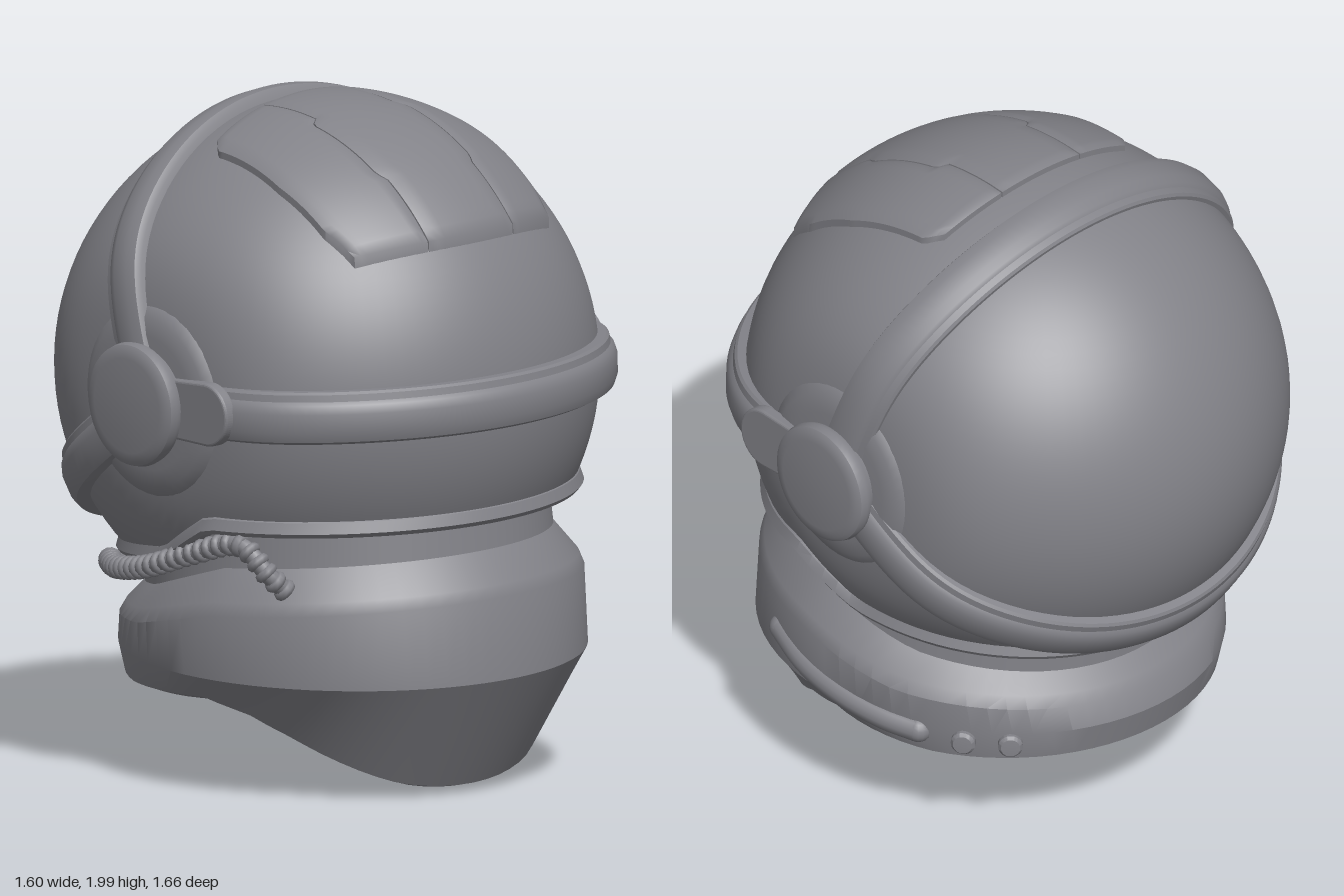
import * as THREE from 'three';
import { toCreasedNormals } from 'three/addons/utils/BufferGeometryUtils.js';

const V = (x, y, z) => new THREE.Vector3(x, y, z);
const { lerp } = THREE.MathUtils;
const C = V(0, 1.19, -0.03);           // centre of the head shell
const R = V(0.785, 0.78, 0.8);         // its radii before the sides are flattened

// flattens the sides of the head softly
const squash = (x) => x / Math.pow(1 + Math.pow(Math.abs(x) / 0.725, 14), 1 / 14);

// piecewise linear lookup in ascending [z, y] pairs
function along(pairs, z) {
  if (z <= pairs[0][0]) return pairs[0][1];
  for (let i = 1; i < pairs.length; i++) {
    const [a, ya] = pairs[i - 1], [b, yb] = pairs[i];
    if (z <= b) return lerp(ya, yb, (z - a) / (b - a));
  }
  return pairs[pairs.length - 1][1];
}

// skin over rows of points; wrap closes each row, loop joins last row to first
function loft(rows, wrap = true, loop = false, crease = 0.5) {
  const n = rows[0].length, m = rows.length, index = [];
  for (let j = 0; j < (loop ? m : m - 1); j++) {
    for (let i = 0; i < (wrap ? n : n - 1); i++) {
      const k = (i + 1) % n, l = (j + 1) % m;
      const a = j * n + i, b = j * n + k, c = l * n + k, d = l * n + i;
      index.push(a, b, c, a, c, d);
    }
  }
  const g = new THREE.BufferGeometry().setFromPoints(rows.flat());
  g.setIndex(index);
  return toCreasedNormals(g, crease);
}

// oval ring whose height follows z; taper narrows its front half
function ring(rx, back, front, pairs, taper = 0) {
  return Array.from({ length: 72 }, (_, i) => {
    const t = (i / 72) * Math.PI * 2, s = Math.sin(t);
    const z = (front + back) / 2 + s * (front - back) / 2;
    return V(rx * Math.cos(t) * (1 - taper * Math.max(0, s)), along(pairs, z), z);
  });
}

// lower edge of the head shell
const rim = [[-0.62, 0.67], [-0.05, 0.725], [0.17, 0.845], [0.8, 0.84]];
function shellPoint(az, th) {
  return V(squash(R.x * Math.sin(th) * Math.cos(az)), C.y + R.y * Math.cos(th),
    C.z + R.z * Math.sin(th) * Math.sin(az));
}
function rimAngle(az) {
  let lo = Math.PI / 2, hi = Math.PI;
  for (let i = 0; i < 30; i++) {
    const mid = (lo + hi) / 2, p = shellPoint(az, mid);
    if (p.y > along(rim, p.z)) lo = mid; else hi = mid;
  }
  return lo;
}

export function createModel() {
  const grey = new THREE.MeshStandardMaterial({ color: 0x828288 });
  grey.name = 'grey';
  grey.side = THREE.DoubleSide;
  const model = new THREE.Group();
  model.name = 'spaceHelmet';
  const tilted = new THREE.Group();
  tilted.name = 'tiltedHelmet';
  const add = (name, geo, parent = tilted) => {
    const m = new THREE.Mesh(geo, grey);
    m.name = name;
    parent.add(m);
    return m;
  };

  // head shell, cut along the rim
  const N = 96, azimuths = Array.from({ length: N }, (_, i) => (i / N) * Math.PI * 2);
  const ends = azimuths.map(rimAngle);
  add('headShell', loft(Array.from({ length: 41 }, (_, j) =>
    azimuths.map((az, i) => shellPoint(az, Math.max(0.001, ends[i] * j / 40)))), true, false, 1));

  // raised lip along the rim
  const lip = [[0.94, 0.03], [0.995, 0.035], [1.02, 0.02], [1.035, -0.012], [1.02, -0.025], [0.9, -0.025]];
  add('shellLip', loft(lip.map(([s, dy]) => azimuths.map((az, i) => {
    const p = shellPoint(az, ends[i]);
    return V(p.x * s, p.y + dy, C.z + (p.z - C.z) * s);
  })), true, true));

  // three half-hoop bands meeting at the ears, each with a low ledge on one side
  const section = [[-0.077, -0.04], [-0.077, 0.005], [-0.068, 0.024], [-0.04, 0.034], [0.015, 0.034],
    [0.04, 0.026], [0.05, 0.016], [0.07, 0.012], [0.077, 0.004], [0.077, -0.04]];
  function band(name, angle, radius, ledge) {
    const d = V(0, Math.sin(angle), Math.cos(angle)), w = V(0, Math.cos(angle), -Math.sin(angle));
    const rows = Array.from({ length: 73 }, (_, j) => {
      const t = (j / 72) * Math.PI, c = Math.cos(t);
      return section.map(([side, off]) => V(squash(c * 0.795) + c * off, C.y, -0.02)
        .addScaledVector(d, Math.sin(t) * (radius + off)).addScaledVector(w, side * ledge));
    });
    add(name, loft(rows));
  }
  band('frontBand', 0, 0.812, 1);
  band('upperVisorBand', Math.PI / 2 + 0.31, 0.79, 1);
  band('lowerVisorBand', Math.PI + 0.575, 0.82, -1);

  // ear bosses, discs and front lugs
  const lathe = (pts) => toCreasedNormals(new THREE.LatheGeometry(
    pts.map(([r, y]) => new THREE.Vector2(r, y)), 48).rotateZ(-Math.PI / 2), 0.6);
  const lugShape = new THREE.Shape();
  lugShape.moveTo(0, -0.075);
  lugShape.lineTo(0.28, -0.085);
  lugShape.absarc(0.28, 0, 0.085, -Math.PI / 2, Math.PI / 2, false);
  lugShape.lineTo(0, 0.075);
  for (const s of [1, -1]) {
    const ear = new THREE.Group();
    ear.name = s > 0 ? 'leftEar' : 'rightEar';
    ear.position.set(0, C.y, -0.02);
    const sides = new THREE.Group();
    sides.name = 'earRounds';
    if (s < 0) sides.rotation.y = Math.PI;
    add('earBoss', lathe([[0.32, 0.62], [0.285, 0.69], [0.25, 0.712], [0.2, 0.72], [0, 0.72]]), sides);
    add('earDisc', lathe([[0.15, 0.68], [0.165, 0.735], [0.178, 0.742], [0.183, 0.76],
      [0.178, 0.78], [0.165, 0.789], [0.14, 0.793], [0, 0.795]]), sides);
    const lug = new THREE.ExtrudeGeometry(lugShape, { depth: 0.025, bevelSize: 0.008,
      bevelThickness: 0.008, bevelSegments: 3, curveSegments: 20 });
    add('earLug', lug.rotateY(-Math.PI / 2).translate(s * 0.722 + 0.0125, 0, 0), ear);
    ear.add(sides);
    tilted.add(ear);
  }

  // three stepped plates on the crown
  const seam = (z) => along([[0.13, 0.155], [0.15, 0.185], [0.42, 0.182], [0.45, 0.165]], z);
  const edge = (z) => along([[-0.1, 0.36], [-0.05, 0.4], [0.3, 0.418], [0.52, 0.41], [0.62, 0.38]], z);
  const gap = 0.002;
  function plate(name, left, right) {
    const rows = [], n = 14, m = 40;
    const inset = (k, c) => Math.min(Math.max((k - 1) / (c - 2), 0), 1);
    for (let j = 0; j <= m; j++) {
      const row = [];
      for (let i = 0; i <= n; i++) {
        const u = inset(i, n), v = inset(j, m), z0 = lerp(-0.1, 0.62, v);
        const x = lerp(left(z0), right(z0), u);
        const z = lerp(-0.1 + 0.2 * x * x, 0.63 - 0.7 * x * x, v);
        const rimmed = i === 0 || j === 0 || i === n || j === m;
        const soft = i === 1 || j === 1 || i === n - 1 || j === m - 1;
        const k = rimmed ? 0.985 : soft ? 1.022 : 1.03;
        const q = 1 - (x / R.x / k) ** 2 - ((z - C.z) / R.z / k) ** 2;
        row.push(V(x, C.y + R.y * k * Math.sqrt(Math.max(q, 0)), z));
      }
      rows.push(row);
    }
    add(name, loft(rows, false, false, 0.7));
  }
  plate('rightCrownPlate', (z) => -edge(z), (z) => -seam(z) - gap);
  plate('middleCrownPlate', (z) => -seam(z) + gap, (z) => seam(z) - gap);
  plate('leftCrownPlate', (z) => seam(z) + gap, edge);

  // neck and collar with its open underside and lining
  const neckBase = [[-0.56, 0.55], [-0.2, 0.6], [0.15, 0.7], [0.64, 0.725]];
  const lower = [[-0.64, 0.32], [-0.3, 0.305], [0.06, 0.31], [0.2, 0.27], [0.31, 0.205],
    [0.42, 0.12], [0.5, 0.055], [0.55, 0.025]];
  const opening = [[-0.5, 0.285], [-0.2, 0.275], [0, 0.262], [0.08, 0.24], [0.15, 0.195], [0.22, 0.12], [0.31, 0]];
  add('collar', loft([
    ring(0.585, -0.56, 0.62, [[-0.56, 0.74], [0, 0.78], [0.2, 0.88], [0.62, 0.89]]),
    ring(0.59, -0.56, 0.64, neckBase),
    ring(0.655, -0.61, 0.715, [[-0.61, 0.505], [-0.2, 0.54], [0.15, 0.61], [0.72, 0.635]]),
    ring(0.67, -0.635, 0.73, [[-0.63, 0.475], [-0.2, 0.5], [0.15, 0.57], [0.73, 0.6]]),
    ring(0.66, -0.66, 0.75, [[-0.66, 0.41], [0, 0.385], [0.75, 0.36]]),
    ring(0.61, -0.64, 0.55, lower),
    ring(0.57, -0.6, 0.5, lower.map(([z, y]) => [z * 0.92, y - 0.015]), 0.08),
    ring(0.47, -0.5, 0.31, opening, 0.22),
    ring(0.49, -0.51, 0.35, opening.map(([z, y]) => [z * 1.1, y + 0.05]), 0.18),
    ring(0.55, -0.53, 0.58, [[-0.5, 0.45], [0.5, 0.42]]),
    ring(0.56, -0.54, 0.6, [[-0.54, 0.73], [0, 0.77], [0.2, 0.87], [0.6, 0.88]]),
  ], true, false, 0.45));

  // light strip and two buttons on the left of the collar
  const collarX = (z) => 0.663 * Math.sqrt(1 - ((z - 0.045) / 0.7) ** 2);
  const strip = [[0.29, 0.465], [0.15, 0.43], [0, 0.405], [-0.15, 0.385], [-0.26, 0.375]]
    .map(([z, y]) => V(collarX(z) - 0.02, y, z));
  add('lightStrip', new THREE.TubeGeometry(new THREE.CatmullRomCurve3(strip), 32, 0.04, 14));
  for (const p of [strip[0], strip[4]])
    add('stripEnd', new THREE.SphereGeometry(0.04, 16, 12)).position.copy(p);
  for (const z of [-0.39, -0.49]) {
    const b = add('collarButton', lathe([[0.036, -0.03], [0.036, 0.012], [0.028, 0.022], [0, 0.024]]));
    b.position.set(collarX(z), 0.37, z);
    b.rotation.y = Math.atan2(-(z - 0.045) / 0.49, collarX(z) / 0.44);
  }

  // ribbed hose round the right of the neck
  const path = new THREE.CatmullRomCurve3([V(-0.56, 0.66, 0.38), V(-0.605, 0.71, 0.36), V(-0.635, 0.79, 0.28),
    V(-0.65, 0.75, 0.1), V(-0.64, 0.68, -0.12), V(-0.57, 0.64, -0.33), V(-0.46, 0.625, -0.48),
    V(-0.41, 0.6, -0.5)]);
  add('hose', new THREE.TubeGeometry(path, 80, 0.026, 10));
  const ribs = 28;
  for (let i = 0; i <= ribs; i++) {
    const rib = add('hoseRib', new THREE.TorusGeometry(0.02, 0.016, 8, 14));
    rib.position.copy(path.getPointAt(i / ribs));
    rib.quaternion.setFromUnitVectors(V(0, 0, 1), path.getTangentAt(i / ribs));
  }

  // slight sideways lean about the head centre
  const lean = 0.042;
  tilted.rotation.z = lean;
  tilted.position.set(C.y * Math.sin(lean), C.y * (1 - Math.cos(lean)), 0);
  model.add(tilted);
  return model;
}
